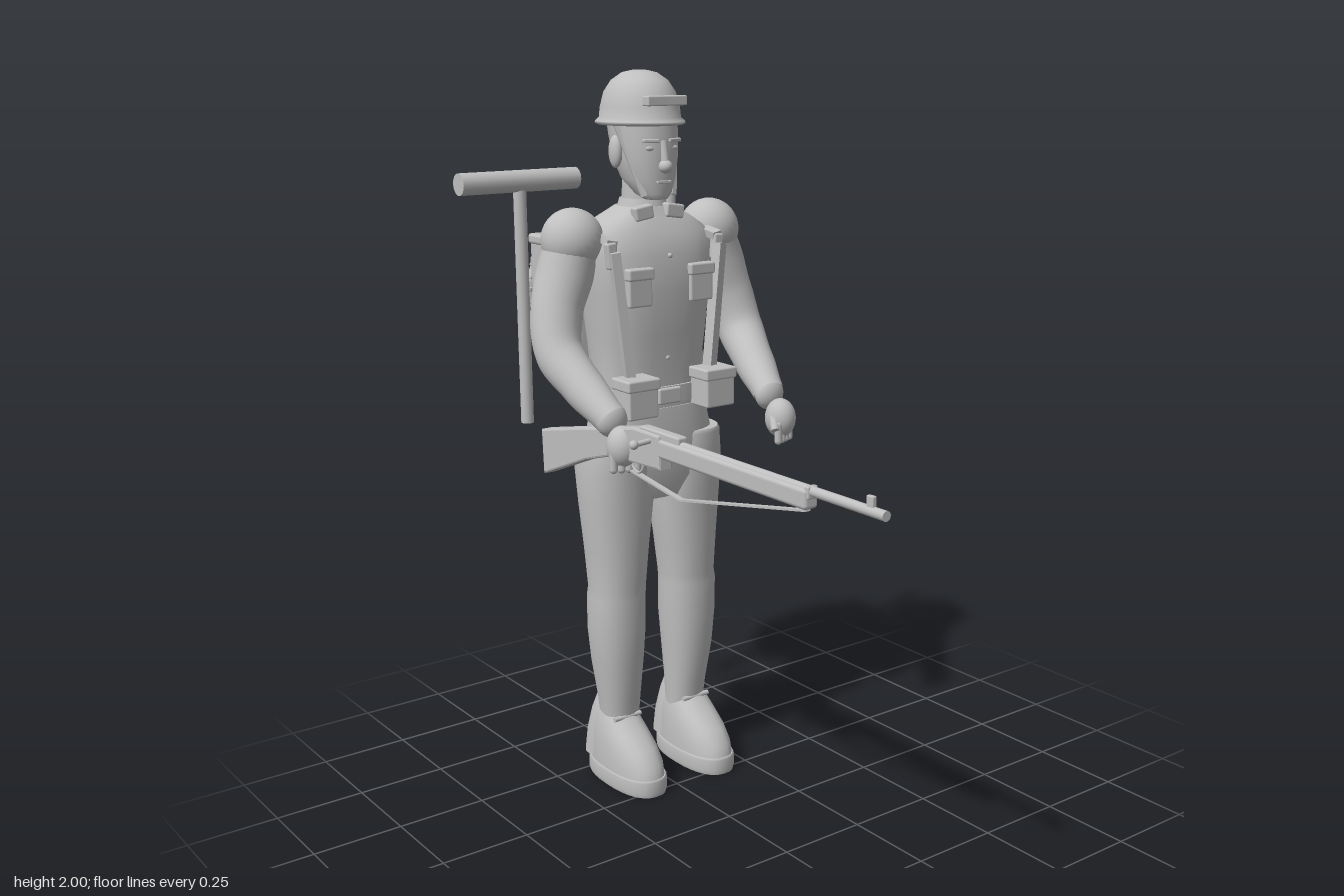
import * as THREE from 'three';
import { RoundedBoxGeometry } from 'three/addons/geometries/RoundedBoxGeometry.js';

const grey = new THREE.MeshStandardMaterial({ color: 0xbfbfbf });
grey.name = 'plain grey';
const V = (x, y, z) => new THREE.Vector3(x, y, z);

// Stacked rounded-rectangle sections: [y, centre x, centre z, half width, half depth]
function loft(sections, power = 2.3, n = 32) {
  const pos = [], idx = [];
  const ring = ([y, cx, cz, rx, rz]) => {
    for (let j = 0; j < n; j++) {
      const t = (j / n) * Math.PI * 2, c = Math.cos(t), s = Math.sin(t);
      pos.push(cx + rx * Math.sign(c) * Math.abs(c) ** (2 / power), y,
        cz + rz * Math.sign(s) * Math.abs(s) ** (2 / power));
    }
  };
  sections.forEach(ring);
  for (let i = 0; i < sections.length - 1; i++) {
    for (let j = 0; j < n; j++) {
      const a = i * n + j, b = i * n + (j + 1) % n;
      idx.push(a, a + n, b, b, a + n, b + n);
    }
  }
  [sections[0], sections[sections.length - 1]].forEach((s, top) => {
    const start = pos.length / 3;
    ring(s);
    pos.push(s[1], s[0], s[2]);
    for (let j = 0; j < n; j++) {
      const a = start + j, b = start + (j + 1) % n;
      idx.push(start + n, top ? b : a, top ? a : b);
    }
  });
  const g = new THREE.BufferGeometry();
  g.setAttribute('position', new THREE.Float32BufferAttribute(pos, 3));
  g.setIndex(idx);
  g.computeVertexNormals();
  return g;
}

// Tube of changing radius through points [x, y, z, radius]
function limb(points, steps = 40) {
  const curve = new THREE.CatmullRomCurve3(points.map(p => V(p[0], p[1], p[2])));
  const g = new THREE.TubeGeometry(curve, steps, 1, 24);
  const p = g.attributes.position, v = V(0, 0, 0);
  for (let i = 0; i <= steps; i++) {
    const c = curve.getPointAt(i / steps);
    const t = curve.getUtoTmapping(i / steps) * (points.length - 1);
    const k = Math.min(Math.floor(t), points.length - 2);
    const r = THREE.MathUtils.lerp(points[k][3], points[k + 1][3], THREE.MathUtils.smoothstep(t - k, 0, 1));
    for (let j = 0; j <= 24; j++) {
      v.fromBufferAttribute(p, i * 25 + j).sub(c).multiplyScalar(r).add(c);
      p.setXYZ(i * 25 + j, v.x, v.y, v.z);
    }
  }
  return g;
}

export function createModel() {
  const root = new THREE.Group();
  root.name = 'soldier';
  const body = new THREE.Group();
  body.name = 'figure';
  body.position.x = 0.03;
  root.add(body);

  const add = (name, geo, x = 0, y = 0, z = 0) => {
    const m = new THREE.Mesh(geo, grey);
    m.name = name;
    m.position.set(x, y, z);
    body.add(m);
    return m;
  };
  const box = (name, w, h, d, x, y, z, r = 0.006) => add(name, new RoundedBoxGeometry(w, h, d, 2, r), x, y, z);
  const ball = (name, rx, ry, rz, x, y, z) => add(name, new THREE.SphereGeometry(1, 28, 18).scale(rx, ry, rz), x, y, z);
  const align = (m, a, b) => {
    m.position.copy(a).add(b).multiplyScalar(0.5);
    m.quaternion.setFromUnitVectors(V(0, 1, 0), b.clone().sub(a).normalize());
    return m;
  };
  const rod = (name, a, b, r) => align(add(name, new THREE.CylinderGeometry(r, r, a.distanceTo(b), 16)), a, b);
  const strap = (name, a, b, w, d) => align(add(name, new THREE.BoxGeometry(w, a.distanceTo(b), d)), a, b);

  // Head and neck
  add('head', loft([[1.665, 0, -0.365, 0.03, 0.03], [1.68, 0, -0.378, 0.048, 0.05], [1.72, 0, -0.4, 0.07, 0.075],
    [1.77, 0, -0.412, 0.082, 0.09], [1.83, 0, -0.42, 0.088, 0.097], [1.89, 0, -0.43, 0.09, 0.1]], 2.2));
  add('neck', new THREE.CylinderGeometry(0.053, 0.06, 0.16, 28), 0, 1.65, -0.43);
  add('collar', new THREE.CylinderGeometry(0.062, 0.08, 0.06, 28), 0, 1.635, -0.43);
  ball('nose', 0.019, 0.018, 0.02, 0, 1.753, -0.318);
  rod('noseBridge', V(0, 1.755, -0.317), V(0, 1.82, -0.328), 0.011);
  box('mouth', 0.045, 0.008, 0.01, 0, 1.712, -0.326, 0.002);

  // Helmet with rim, badge plate and chin strap
  const dome = [[0, 1.862], [0.108, 1.858], [0.116, 1.862], [0.115, 1.868], [0.105, 1.877], [0.102, 1.905],
    [0.092, 1.943], [0.073, 1.973], [0.045, 1.993], [0.02, 1.999], [0, 2]];
  add('helmet', new THREE.LatheGeometry(dome.map(p => new THREE.Vector2(...p)), 40).scale(1, 1, 1.15), 0, 0, -0.435);
  box('helmetPlate', 0.125, 0.026, 0.03, 0, 1.923, -0.318, 0.004);

  // Torso, belt and hips
  add('jacket', loft([[1.08, 0, -0.415, 0.165, 0.092], [1.2, 0, -0.415, 0.16, 0.095], [1.3, 0, -0.42, 0.172, 0.112],
    [1.42, 0, -0.42, 0.185, 0.122], [1.52, 0, -0.422, 0.198, 0.12], [1.58, 0, -0.427, 0.185, 0.104],
    [1.615, 0, -0.43, 0.135, 0.085], [1.645, 0, -0.43, 0.07, 0.07]], 2.6));
  add('hips', loft([[0.84, 0, -0.415, 0.11, 0.08], [0.9, 0, -0.415, 0.18, 0.1], [1.0, 0, -0.415, 0.195, 0.104],
    [1.1, 0, -0.415, 0.172, 0.096]], 2.6));
  add('belt', loft([[1.112, 0, -0.415, 0.174, 0.102], [1.16, 0, -0.415, 0.174, 0.102]], 2.6));
  box('beltBuckle', 0.075, 0.045, 0.016, 0, 1.135, -0.312);
  for (let i = 0; i < 5; i++) ball('button', 0.007, 0.007, 0.006, 0, 1.24 + i * 0.07, -0.317 + i * 0.004);

  for (const s of [-1, 1]) {
    // Face details
    ball('eye', 0.017, 0.007, 0.006, s * 0.035, 1.8, -0.333);
    box('eyebrow', 0.045, 0.01, 0.016, s * 0.037, 1.82, -0.331, 0.003).rotation.y = s * 0.25;
    ball('ear', 0.016, 0.043, 0.024, s * 0.09, 1.79, -0.42);
    strap('chinStrap', V(s * 0.096, 1.87, -0.41), V(s * 0.048, 1.675, -0.35), 0.008, 0.016);

    // Collar tabs, chest pockets and flaps
    box('collarTab', 0.058, 0.038, 0.03, s * 0.05, 1.632, -0.357).rotation.z = s * -0.15;
    box('chestPocket', 0.075, 0.1, 0.025, s * 0.1, 1.44, -0.305);
    box('pocketFlap', 0.082, 0.032, 0.03, s * 0.1, 1.478, -0.301);

    // Webbing braces and ammunition pouches
    box('braceHook', 0.03, 0.07, 0.025, s * 0.172, 1.53, -0.325).rotation.z = s * -0.1;
    strap('frontBrace', V(s * 0.172, 1.54, -0.31), V(s * 0.132, 1.19, -0.305), 0.026, 0.03);
    strap('shoulderBrace', V(s * 0.172, 1.56, -0.32), V(s * 0.14, 1.6, -0.5), 0.03, 0.02);
    strap('backBrace', V(s * 0.14, 1.57, -0.53), V(s * 0.1, 1.15, -0.515), 0.03, 0.014);
    box('ammoPouch', 0.095, 0.085, 0.08, s * 0.128, 1.14, -0.285);
    box('pouchLid', 0.104, 0.032, 0.088, s * 0.128, 1.19, -0.284);

    // Arms and hands
    ball('shoulder', 0.085, 0.085, 0.082, s * 0.225, 1.565, -0.43);
    add('sleeve', limb([[s * 0.215, 1.58, -0.43, 0.07], [s * 0.25, 1.48, -0.43, 0.077], [s * 0.285, 1.38, -0.42, 0.07],
      [s * 0.302, 1.28, -0.385, 0.065], [s * 0.285, 1.2, -0.3, 0.057], [s * 0.262, 1.125, -0.2, 0.044]]));
    ball('cuff', 0.045, 0.045, 0.03, s * 0.262, 1.125, -0.2);
    ball('hand', 0.042, 0.055, 0.045, s * 0.262, 1.065, -0.15);
    for (let i = 0; i < 4; i++)
      add('finger', new THREE.CapsuleGeometry(0.011, 0.045, 4, 10), s * (0.235 + i * 0.019), 1.03, -0.125 - i * 0.008);
    rod('thumb', V(s * 0.235, 1.08, -0.15), V(s * 0.22, 1.04, -0.12), 0.012);

    // Trouser legs
    add('leg', loft([[0.17, s * 0.115, -0.415, 0.055, 0.052], [0.24, s * 0.117, -0.412, 0.06, 0.057],
      [0.36, s * 0.122, -0.41, 0.073, 0.073], [0.46, s * 0.123, -0.41, 0.081, 0.08], [0.56, s * 0.123, -0.408, 0.082, 0.079],
      [0.585, s * 0.12, -0.408, 0.08, 0.079], [0.7, s * 0.118, -0.41, 0.09, 0.087], [0.83, s * 0.115, -0.413, 0.105, 0.096],
      [0.93, s * 0.118, -0.415, 0.107, 0.105], [1.01, s * 0.122, -0.415, 0.095, 0.107], [1.02, s * 0.122, -0.415, 0.09, 0.102]], 2.2));

    // Boots
    const bx = s * 0.121;
    add('bootSole', loft([[0, bx, -0.37, 0.072, 0.153], [0.012, bx, -0.37, 0.076, 0.155],
      [0.045, bx, -0.37, 0.076, 0.155], [0.05, bx, -0.37, 0.072, 0.152]], 2.4));
    add('bootUpper', loft([[0.045, bx, -0.37, 0.072, 0.15], [0.08, bx, -0.374, 0.072, 0.145], [0.12, bx, -0.388, 0.069, 0.128],
      [0.155, bx, -0.408, 0.064, 0.102], [0.19, bx, -0.426, 0.057, 0.073], [0.205, bx, -0.431, 0.052, 0.064]], 2.3));
    add('bootHeel', loft([[0.06, bx, -0.47, 0.069, 0.054], [0.13, bx, -0.462, 0.064, 0.056],
      [0.2, bx, -0.45, 0.056, 0.047], [0.265, bx, -0.455, 0.03, 0.02]], 2.3));
    rod('bootLace', V(bx - 0.045, 0.195, -0.365), V(bx + 0.045, 0.195, -0.365), 0.007);
  }

  // Backpack with bedroll, top roll and round mess tin
  box('backpack', 0.3, 0.345, 0.25, 0, 1.365, -0.665, 0.02);
  box('packFlap', 0.31, 0.03, 0.235, 0, 1.53, -0.67, 0.01);
  rod('bedroll', V(-0.175, 1.225, -0.63), V(0.175, 1.225, -0.63), 0.067);
  rod('topRoll', V(-0.09, 1.56, -0.665), V(0.14, 1.56, -0.665), 0.015);
  for (const s of [-1, 1]) box('tinMount', 0.025, 0.2, 0.03, s * 0.12, 1.375, -0.8);
  add('messTin', new THREE.CylinderGeometry(0.125, 0.125, 0.03, 40).rotateX(Math.PI / 2), 0, 1.38, -0.807);
  add('tinRim', new THREE.TorusGeometry(0.132, 0.013, 12, 48), 0, 1.38, -0.815);
  for (let i = 0; i < 24; i++) {
    const a = (i / 24) * Math.PI * 2;
    box('rimClip', 0.024, 0.012, 0.03, 0.132 * Math.cos(a), 1.38 + 0.132 * Math.sin(a), -0.815, 0.003).rotation.z = a;
  }

  // Spade on the left, mallet on the right
  rod('spadeHandle', V(0.25, 1.03, -0.655), V(0.25, 1.715, -0.655), 0.018);
  box('spadeBlade', 0.115, 0.21, 0.032, 0.268, 0.955, -0.655, 0.012);
  rod('malletHandle', V(-0.25, 1.03, -0.655), V(-0.25, 1.7, -0.655), 0.018);
  rod('malletHead', V(-0.435, 1.705, -0.655), V(-0.07, 1.705, -0.655), 0.03);

  // Canteen
  ball('canteen', 0.066, 0.09, 0.047, 0.215, 1.155, -0.538);
  add('canteenCap', new THREE.CylinderGeometry(0.016, 0.016, 0.03, 16), 0.215, 1.25, -0.538);

  // Rifle
  const rx = -0.25;
  const stock = new THREE.Shape([[0.02, 1.122], [0.02, 1.045], [-0.2, 1.035], [-0.32, 1.0], [-0.535, 0.915],
    [-0.54, 1.03], [-0.33, 1.075], [-0.2, 1.1], [-0.09, 1.122]].map(p => new THREE.Vector2(...p)));
  add('rifleStock', new THREE.ExtrudeGeometry(stock, { depth: 0.03, bevelSize: 0.006, bevelThickness: 0.006, bevelSegments: 2 })
    .rotateY(-Math.PI / 2).scale(1, 1, 1), rx + 0.015, 0, 0);
  box('rifleForestock', 0.042, 0.05, 0.64, rx, 1.094, 0.268, 0.01);
  rod('rifleBarrel', V(rx, 1.113, -0.05), V(rx, 1.113, 0.83), 0.012);
  box('rifleReceiver', 0.03, 0.03, 0.17, rx, 1.122, 0.015);
  box('frontSight', 0.012, 0.032, 0.022, rx, 1.132, 0.782, 0.003);
  box('muzzleBand', 0.03, 0.03, 0.015, rx, 1.11, 0.585, 0.004);
  rod('boltHandle', V(rx, 1.11, -0.015), V(rx - 0.065, 1.105, -0.015), 0.007);
  ball('boltKnob', 0.012, 0.012, 0.012, rx - 0.068, 1.105, -0.015);
  add('triggerGuard', new THREE.TorusGeometry(0.025, 0.004, 8, 20).rotateY(Math.PI / 2), rx, 1.03, -0.1);
  const sling = [V(rx, 1.065, 0.575), V(rx, 0.975, 0.09), V(rx, 1.03, -0.31)];
  for (let i = 0; i < 2; i++) strap('rifleSling', sling[i], sling[i + 1], 0.016, 0.005);

  return root;
}
